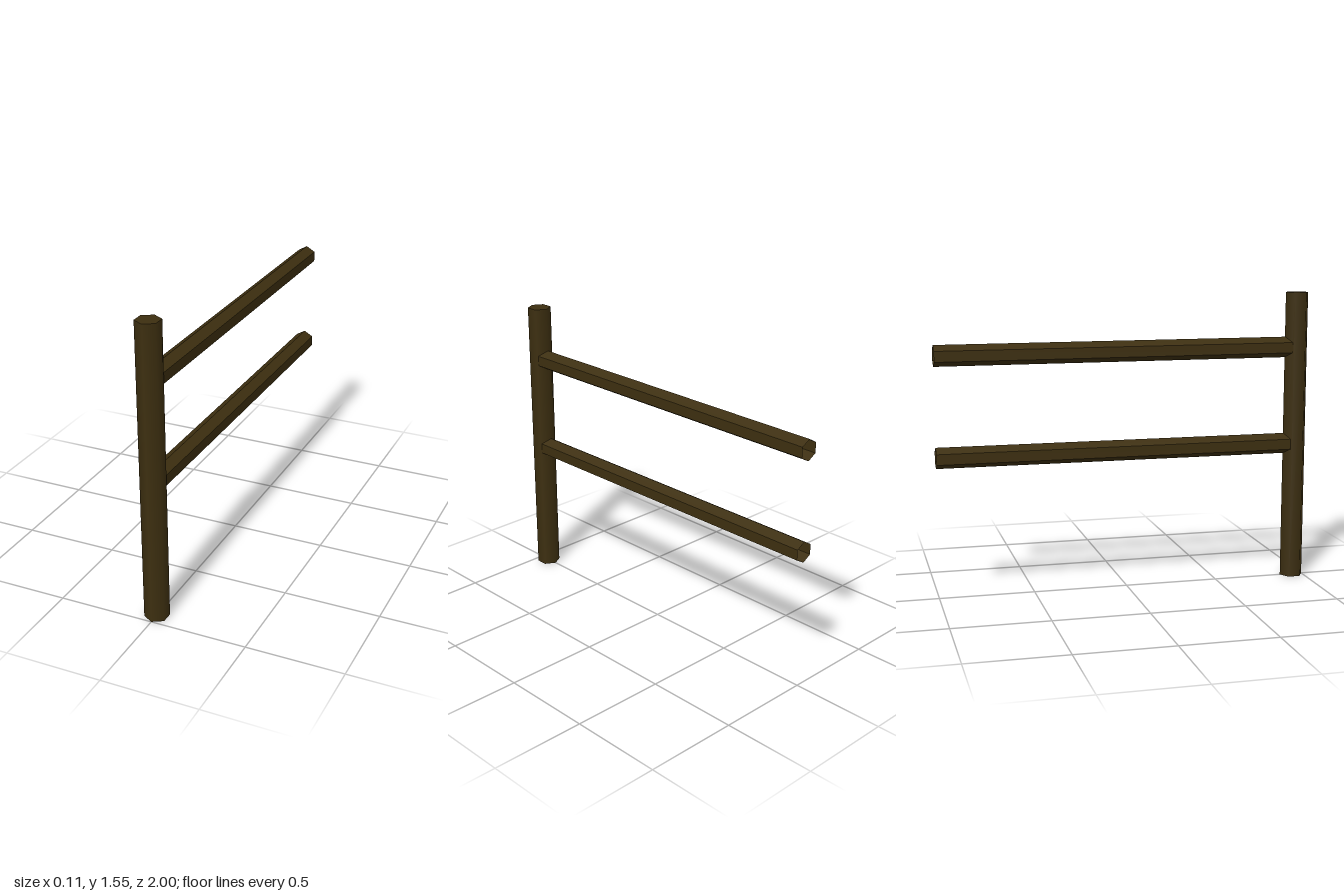
import * as THREE from 'three';

export function createModel() {
  const group = new THREE.Group();
  const postWood = new THREE.MeshStandardMaterial({ color: 0x3d2f10 });
  postWood.name = 'dark wood';
  // Rails are open hexagonal tubes with flat faces, so both sides show
  const railWood = postWood.clone();
  railWood.side = THREE.DoubleSide;
  railWood.flatShading = true;

  // Upright hexagonal post, corner facing front
  const height = 1.555;
  const post = new THREE.Mesh(new THREE.CylinderGeometry(0.063, 0.063, height, 6), postWood);
  post.name = 'post';
  post.position.set(0, height / 2, 0.937);
  group.add(post);

  // Two rails running back from the post
  const zFront = 0.93, zBack = -1;
  const railGeometry = new THREE.CylinderGeometry(0.055, 0.055, zFront - zBack, 6, 1, true);
  railGeometry.rotateX(Math.PI / 2);
  for (const [name, y] of [['lowerRail', 0.74], ['upperRail', 1.263]]) {
    const rail = new THREE.Mesh(railGeometry, railWood);
    rail.name = name;
    rail.position.set(0, y, (zFront + zBack) / 2);
    group.add(rail);
  }
  return group;
}
